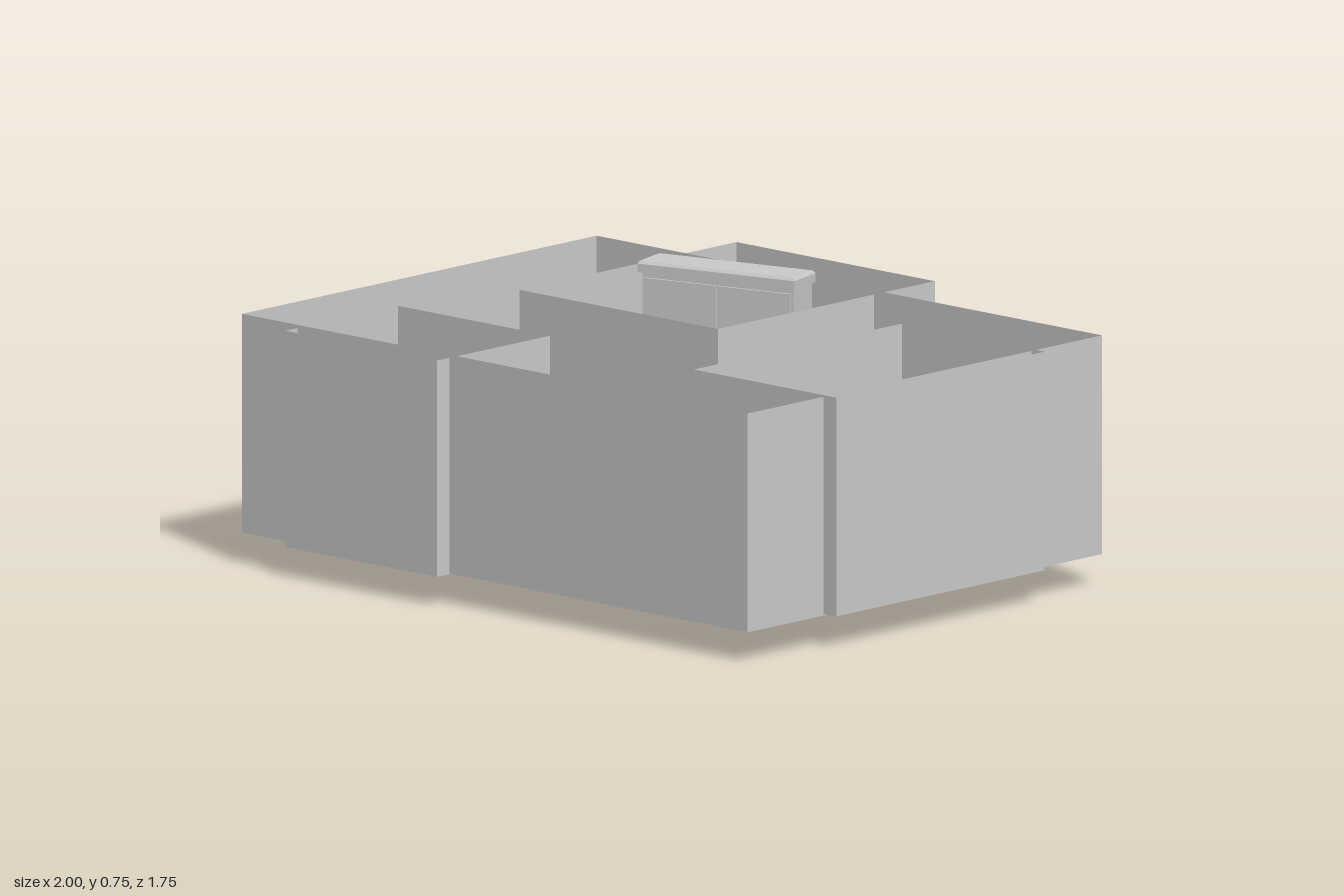
import * as THREE from 'three';
import { RoundedBoxGeometry } from 'three/addons/geometries/RoundedBoxGeometry.js';

const grey = new THREE.MeshStandardMaterial({ color: 0xcccccc });
const thin = new THREE.MeshStandardMaterial({ color: 0xcccccc, side: THREE.DoubleSide });

function add(parent, name, geometry, x, y, z, material = grey) {
  const mesh = new THREE.Mesh(geometry, material);
  mesh.name = name;
  mesh.position.set(x, y, z);
  parent.add(mesh);
  return mesh;
}

// Room shell: floor and four thin walls, open at the top
function room(parent, name, x0, x1, y0, y1, z0, z1) {
  const geo = new THREE.BoxGeometry(x1 - x0, y1 - y0, z1 - z0);
  const index = Array.from(geo.index.array);
  index.splice(12, 6); // drop the ceiling
  geo.setIndex(index);
  geo.clearGroups();
  add(parent, name, geo, (x0 + x1) / 2, (y0 + y1) / 2, (z0 + z1) / 2, thin);
}

// Blanket: soft slab that flares at the foot corners and ripples slightly
function blanketGeometry(w, h, d) {
  const geo = new RoundedBoxGeometry(w, h, d, 6, 0.03);
  const p = geo.attributes.position;
  for (let i = 0; i < p.count; i++) {
    const x = p.getX(i), y = p.getY(i), z = p.getZ(i);
    const foot = Math.max(0, x / (w / 2));
    const low = 0.5 - y / h;
    p.setZ(i, z * (1 + 0.1 * foot * foot + 0.05 * low));
    p.setX(i, x + 0.012 * low * foot);
    p.setY(i, y + 0.004 * Math.sin(x * 40) * Math.cos(z * 25) * (1 - low));
  }
  geo.computeVertexNormals();
  return geo;
}

// Pillow: flattened ellipsoid with squared-off outline
function pillowGeometry(w, h, d) {
  const geo = new THREE.SphereGeometry(1, 24, 16);
  const p = geo.attributes.position;
  const square = v => Math.sign(v) * Math.pow(Math.abs(v), 0.65);
  for (let i = 0; i < p.count; i++) {
    p.setXYZ(i, square(p.getX(i)) * w / 2, p.getY(i) * h / 2, square(p.getZ(i)) * d / 2);
  }
  geo.computeVertexNormals();
  return geo;
}

function makeBed() {
  const bed = new THREE.Group();
  bed.name = 'bed';
  add(bed, 'headboard', new RoundedBoxGeometry(0.03, 0.22, 0.33, 2, 0.008), -0.34, 0.2, -0.275);
  add(bed, 'bedBase', new THREE.BoxGeometry(0.44, 0.05, 0.33), -0.11, 0.125, -0.28);
  add(bed, 'mattress', new RoundedBoxGeometry(0.45, 0.07, 0.33, 3, 0.02), -0.105, 0.18, -0.28);
  add(bed, 'blanket', blanketGeometry(0.35, 0.13, 0.385), -0.05, 0.16, -0.285);
  for (const z of [-0.365, -0.205]) {
    const pillow = add(bed, 'pillow', pillowGeometry(0.14, 0.055, 0.135), -0.24, 0.235, z);
    pillow.rotation.z = -0.25;
  }
  return bed;
}

function makeWardrobe() {
  const wardrobe = new THREE.Group();
  wardrobe.name = 'wardrobe';
  wardrobe.position.set(-0.36, 0, -0.48);
  wardrobe.rotation.y = 0.262;
  add(wardrobe, 'wardrobeBody', new THREE.BoxGeometry(0.48, 0.63, 0.11), 0, 0.41, -0.005);
  // Cornice with a chamfered upper edge
  const cornice = new THREE.BoxGeometry(0.5, 0.025, 0.125);
  add(wardrobe, 'cornice', cornice, 0, 0.7275, 0);
  const cap = new THREE.BoxGeometry(0.5, 0.008, 0.125);
  const p = cap.attributes.position;
  for (let i = 0; i < p.count; i++) {
    if (p.getY(i) > 0) p.setXYZ(i, p.getX(i) * 0.98, p.getY(i), p.getZ(i) * 0.92);
  }
  cap.computeVertexNormals();
  add(wardrobe, 'corniceTop', cap, 0, 0.744, 0);
  // Two door panels
  for (const side of [-1, 1]) {
    add(wardrobe, 'wardrobeDoor', new THREE.BoxGeometry(0.23, 0.58, 0.008), side * 0.118, 0.41, 0.053);
  }
  return wardrobe;
}

function makeNightstand() {
  const stand = new THREE.Group();
  stand.name = 'nightstand';
  stand.position.set(-0.387, 0, -0.473);
  add(stand, 'plinth', new THREE.BoxGeometry(0.085, 0.02, 0.09), 0.008, 0.01, -0.008);
  add(stand, 'nightstandBody', new THREE.BoxGeometry(0.112, 0.12, 0.12), 0, 0.075, 0);
  add(stand, 'nightstandTop', new RoundedBoxGeometry(0.115, 0.012, 0.128, 2, 0.004), 0, 0.138, 0);
  for (const y of [0.05, 0.1]) {
    add(stand, 'drawer', new THREE.BoxGeometry(0.006, 0.04, 0.1), 0.055, y, 0);
  }
  return stand;
}

export function createModel() {
  const model = new THREE.Group();
  model.name = 'apartment';
  room(model, 'mainRoom', -1, 0.95, 0.09, 0.717, -0.627, 0.82);
  room(model, 'bedroom', -0.695, 0.07, 0.086, 0.705, -0.875, 0.01);
  room(model, 'frontRoom', -0.785, -0.2, 0.088, 0.708, 0.41, 0.87);
  room(model, 'sideRoom', 0.45, 1, 0.095, 0.722, -0.34, 0.51);
  model.add(makeBed(), makeWardrobe(), makeNightstand());
  return model;
}
